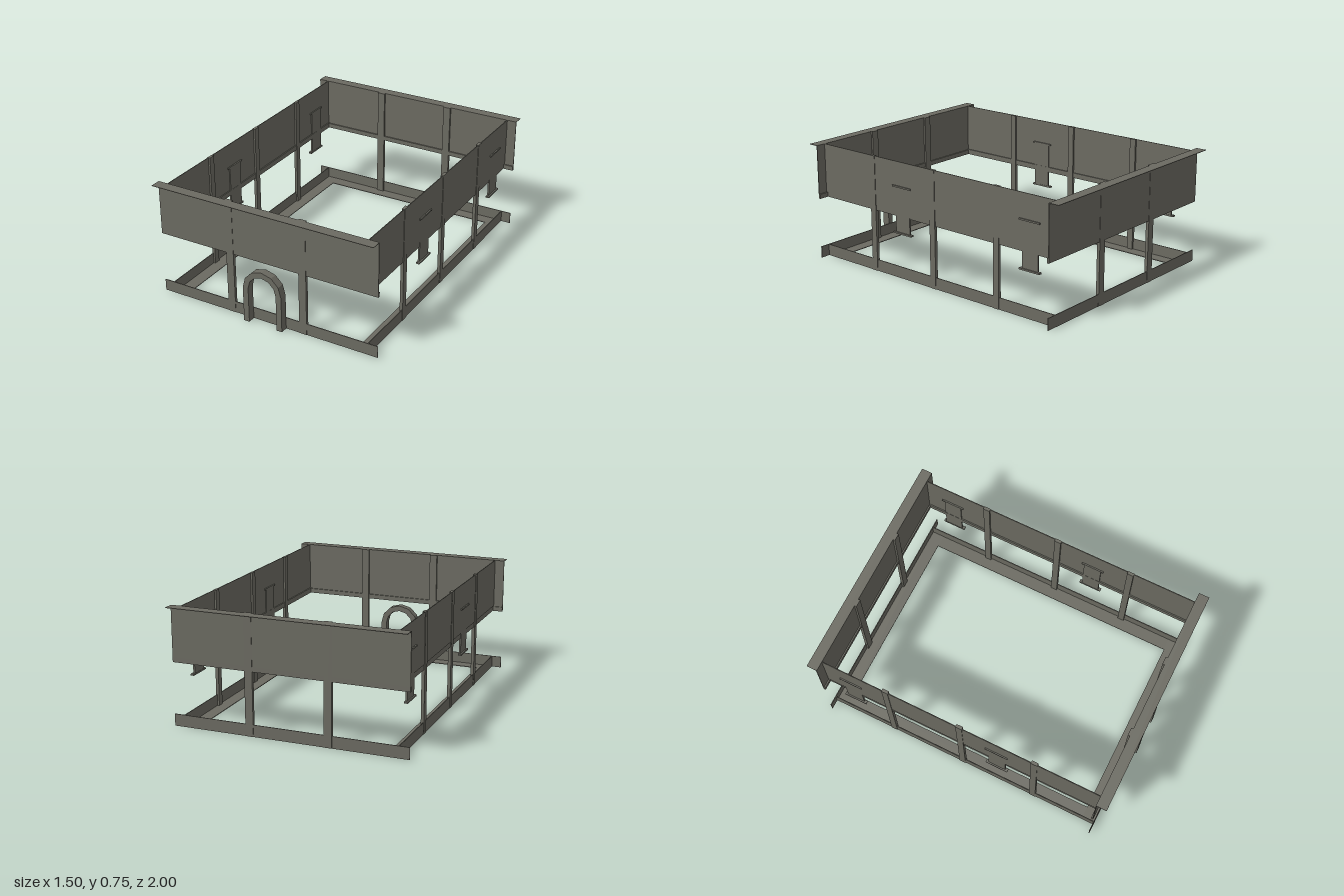
import * as THREE from 'three';

const stone = new THREE.MeshStandardMaterial({ color: 0x6b6a61, side: THREE.DoubleSide });
stone.name = 'weatheredStone';

// Box given by its min and max corners
function slab(parent, name, [x0, x1], [y0, y1], [z0, z1]) {
  const mesh = new THREE.Mesh(new THREE.BoxGeometry(x1 - x0, y1 - y0, z1 - z0), stone);
  mesh.position.set((x0 + x1) / 2, (y0 + y1) / 2, (z0 + z1) / 2);
  mesh.name = name;
  parent.add(mesh);
  return mesh;
}

// Long end wall, built facing +z
function createEndWall(name) {
  const wall = new THREE.Group();
  wall.name = name;
  const full = [-0.748, 0.748];
  slab(wall, 'endPanel', full, [0.43, 0.75], [0.931, 0.936]);
  slab(wall, 'endBeam', full, [0.4, 0.43], [0.922, 0.936]);
  slab(wall, 'endCornice', full, [0.747, 0.75], [0.936, 1]);
  slab(wall, 'endBaseBand', full, [0, 0.075], [0.931, 0.936]);
  slab(wall, 'endFloorStrip', [-0.68, 0.68], [0, 0.004], [0.852, 0.932]);
  for (const x of [-0.25, 0.25]) {
    slab(wall, 'endPost', [x - 0.025, x + 0.025], [0, 0.75], [0.918, 0.938]);
  }
  return wall;
}

// Side wall on the side given by the sign s
function createSideWall(name, s) {
  const wall = new THREE.Group();
  wall.name = name;
  const across = (a, b) => (s > 0 ? [a, b] : [-b, -a]);
  const full = [-0.932, 0.932];
  slab(wall, 'sidePanel', across(0.68, 0.685), [0.434, 0.75], full);
  slab(wall, 'sideBeam', across(0.672, 0.682), [0.4, 0.434], full);
  slab(wall, 'sideBaseBand', across(0.68, 0.685), [0, 0.075], full);
  slab(wall, 'sideFloorStrip', across(0.6, 0.682), [0, 0.004], [-0.852, 0.852]);
  for (const z of [-0.5, 0, 0.5]) {
    slab(wall, 'sidePost', across(0.668, 0.688), [0, 0.75], [z - 0.021, z + 0.021]);
  }
  // Hanging plates with a ledge above and below
  for (const z of [-0.75, 0.25]) {
    slab(wall, 'hangingPlate', across(0.673, 0.684), [0.295, 0.59], [z - 0.058, z + 0.058]);
    for (const y of [0.295, 0.592]) {
      slab(wall, 'plateLedge', across(0.671, 0.693), [y - 0.005, y + 0.005], [z - 0.075, z + 0.075]);
    }
  }
  return wall;
}

// Faceted round-headed doorway
function createDoorArch() {
  const points = [];
  const spring = 0.23, segments = 6;
  const addArc = (radius, from, to) => {
    for (let i = 0; i <= segments; i++) {
      const a = from + ((to - from) * i) / segments;
      points.push(new THREE.Vector2(radius * Math.cos(a), spring + radius * Math.sin(a)));
    }
  };
  points.push(new THREE.Vector2(0.133, 0));
  addArc(0.133, 0, Math.PI);
  points.push(new THREE.Vector2(-0.133, 0), new THREE.Vector2(-0.096, 0));
  addArc(0.096, Math.PI, 0);
  points.push(new THREE.Vector2(0.096, 0));
  const geometry = new THREE.ExtrudeGeometry(new THREE.Shape(points), { depth: 0.05, bevelEnabled: false });
  const arch = new THREE.Mesh(geometry, stone);
  arch.position.z = 0.935;
  arch.name = 'doorArch';
  return arch;
}

export function createModel() {
  const model = new THREE.Group();
  model.name = 'buildingFrame';
  const back = createEndWall('backWall');
  back.rotation.y = Math.PI;
  model.add(
    createEndWall('frontWall'), back,
    createSideWall('leftWall', 1), createSideWall('rightWall', -1),
    createDoorArch(),
  );
  return model;
}
